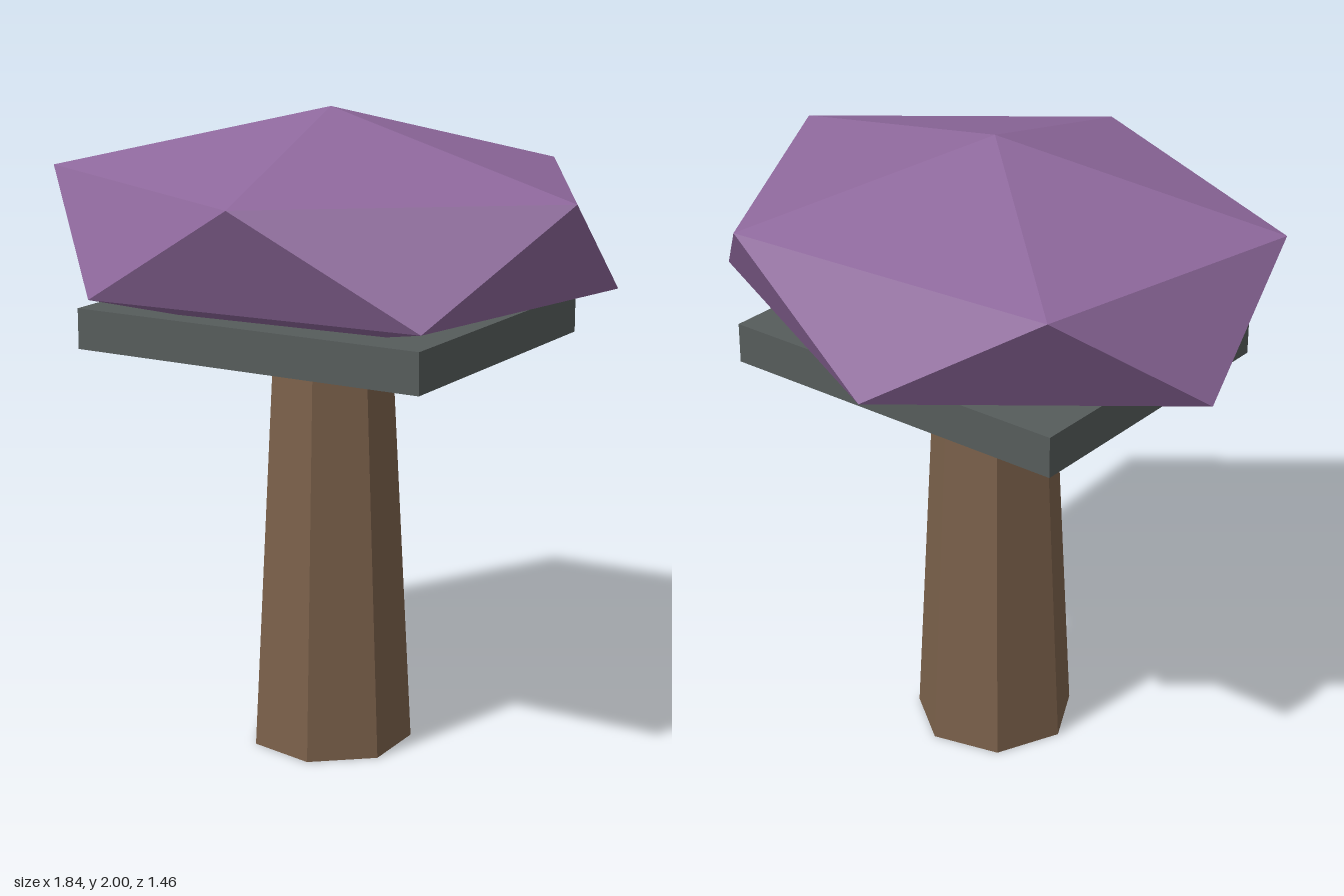
import * as THREE from 'three';
import { ConvexGeometry } from 'three/addons/geometries/ConvexGeometry.js';

export function createModel() {
  const model = new THREE.Group();
  model.name = 'stylizedTree';

  const add = (name, geometry, color, y, turn = 0) => {
    const mesh = new THREE.Mesh(geometry, new THREE.MeshStandardMaterial({ color, flatShading: true }));
    mesh.name = name;
    mesh.position.y = y;
    mesh.rotation.y = turn;
    model.add(mesh);
  };

  // Tapered seven-sided trunk, one edge pointing to the back
  add('trunk', new THREE.CylinderGeometry(0.187, 0.255, 1.3, 7), 0x7a604a, 0.65, Math.PI);

  // Slab under the crown, slightly turned
  add('slab', new THREE.BoxGeometry(1.17, 0.125, 1.0), 0x565c5b, 1.3475, 0.2);

  // Crown: a flattened icosahedron, two offset five-point rings between two tips
  const points = [new THREE.Vector3(0, 0.36, 0), new THREE.Vector3(0, -0.355, 0)];
  for (let i = 0; i < 5; i++) {
    const a = (i * Math.PI * 2) / 5;
    const p = new THREE.Vector3(0.92 * Math.cos(a), 0.161, 0.768 * Math.sin(a));
    points.push(p, p.clone().negate());
  }
  add('crown', new ConvexGeometry(points), 0x8e689c, 1.64);

  return model;
}
